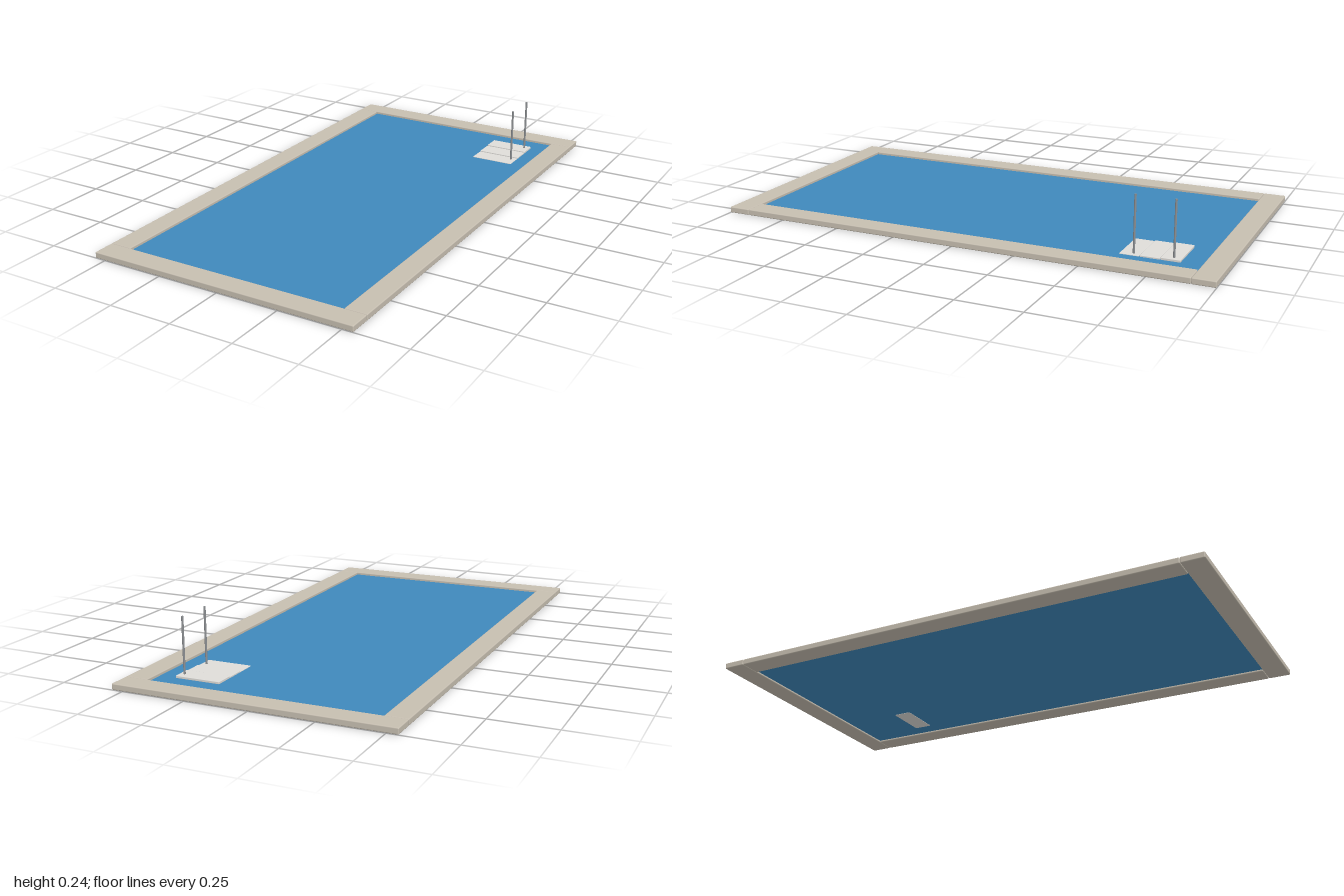
import * as THREE from 'three';
import { RoundedBoxGeometry } from 'three/addons/geometries/RoundedBoxGeometry.js';

const stone = new THREE.MeshStandardMaterial({ color: 0xc6beb0 });
const blue = new THREE.MeshStandardMaterial({ color: 0x3f88bb });
const white = new THREE.MeshStandardMaterial({ color: 0xdedcd8 });
const steel = new THREE.MeshStandardMaterial({ color: 0x8c8f92 });

export function createModel() {
  const model = new THREE.Group();
  model.name = 'swimmingPool';

  function add(name, geometry, material, x, y, z) {
    const mesh = new THREE.Mesh(geometry, material);
    mesh.name = name;
    mesh.position.set(x, y, z);
    model.add(mesh);
  }

  // Stone border: two end slabs over the full width, two side slabs between them
  const height = 0.024, border = 0.088;
  for (const side of [-1, 1]) {
    add(side > 0 ? 'frontCoping' : 'backCoping',
      new RoundedBoxGeometry(1.088, height, border, 2, 0.004), stone,
      0, height / 2, side * (1 - border / 2));
    add(side > 0 ? 'leftCoping' : 'rightCoping',
      new RoundedBoxGeometry(border, height, 1.822, 2, 0.004), stone,
      side * (0.544 - border / 2), height / 2, 0);
  }

  // Thin sheet of water, recessed below the rim
  add('water', new THREE.BoxGeometry(0.914, 0.005, 1.826), blue, 0, 0.0105, 0);

  // Three shallow treads rising towards the back
  for (let i = 0; i < 3; i++) {
    const top = 0.016 + i * 0.003;
    add('step' + (i + 1), new RoundedBoxGeometry(0.18, 0.01, 0.074, 2, 0.002), white,
      0.3, top - 0.005, -0.638 - i * 0.077);
  }

  // Upright handrails
  for (const z of [-0.65, -0.8]) {
    add('handrail', new THREE.CylinderGeometry(0.0042, 0.0042, 0.225, 16), steel,
      0.37, 0.1255, z);
  }

  return model;
}
